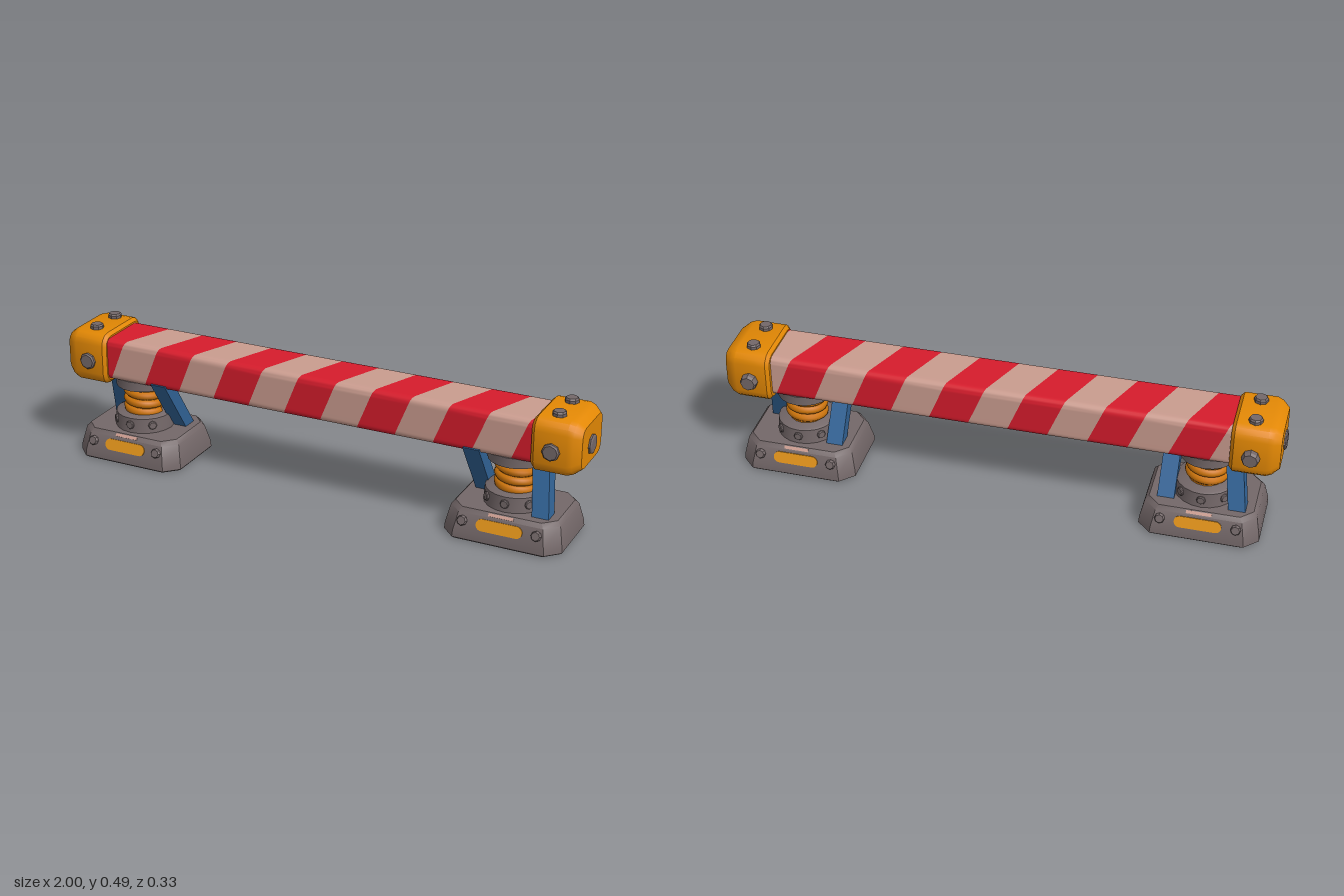
import * as THREE from 'three';
import { toCreasedNormals } from 'three/addons/utils/BufferGeometryUtils.js';

const material = (name, color) => Object.assign(new THREE.MeshStandardMaterial({ color }), { name });

// Solid through rounded-rectangle rings [y, halfX, halfZ, corner], n segments per corner
function loft(sections, n) {
  const rings = sections.map(([y, hx, hz, c]) => {
    const ring = [];
    for (let q = 0; q < 4; q++) {
      const sx = q === 0 || q === 3 ? 1 : -1, sz = q < 2 ? 1 : -1;
      for (let i = 0; i <= n; i++) {
        const t = (q + i / n) * Math.PI / 2;
        ring.push([sx * (hx - c) + c * Math.cos(t), y, sz * (hz - c) + c * Math.sin(t)]);
      }
    }
    return ring;
  });
  const pos = [], m = rings[0].length, last = rings.length - 1;
  const tri = (a, b, c) => pos.push(...a, ...b, ...c);
  for (let j = 0; j < m; j++) {
    const k = (j + 1) % m;
    for (let i = 0; i < last; i++) {
      tri(rings[i][j], rings[i + 1][j], rings[i][k]);
      tri(rings[i + 1][j], rings[i + 1][k], rings[i][k]);
    }
    tri([0, sections[0][0], 0], rings[0][j], rings[0][k]);
    tri([0, sections[last][0], 0], rings[last][k], rings[last][j]);
  }
  return fromPositions(pos);
}

function fromPositions(pos) {
  const g = new THREE.BufferGeometry();
  g.setAttribute('position', new THREE.Float32BufferAttribute(pos, 3));
  return toCreasedNormals(g, 0.6);
}

// One colour of the diagonal stripes, which wind around the beam once per period
function stripes(phase) {
  const P = 0.283, N = 96, end = 0.83, hz = 0.106, hy = 0.078, r = 0.022, H = Math.PI / 2;
  const section = new THREE.Shape().moveTo(hz, 0)
    .lineTo(hz, hy - r)
    .absarc(hz - r, hy - r, r, 0, H)
    .absarc(-hz + r, hy - r, r, H, 2 * H)
    .absarc(-hz + r, -hy + r, r, 2 * H, 3 * H)
    .absarc(hz - r, -hy + r, r, 3 * H, 4 * H)
    .lineTo(hz, 0);
  const pts = section.getSpacedPoints(N), pos = [];
  const at = (x, j) => [THREE.MathUtils.clamp(x + P * j / N, -end, end), 0.382 + pts[j].y, pts[j].x];
  for (let k = -5; k <= 4; k++) {
    const x0 = (k + phase - 0.25) * P, x1 = x0 + P / 2;
    for (let j = 0; j < N; j++) {
      const a = at(x0, j), b = at(x1, j), c = at(x0, j + 1), d = at(x1, j + 1);
      if (b[0] > a[0]) pos.push(...a, ...b, ...c);
      if (d[0] > c[0]) pos.push(...b, ...d, ...c);
    }
  }
  return fromPositions(pos);
}

export function createModel() {
  const grey = material('greyMetal', 0x746869);
  const orange = material('orangePaint', 0xe38804);
  const amber = material('amberPanel', 0xe9981c);
  const copper = material('springOrange', 0xcc740a);
  const blue = material('bluePaint', 0x316396);
  const red = material('redPaint', 0xd61c2c);
  const beige = material('beigePaint', 0xca9c8f);
  const model = new THREE.Group();
  model.name = 'barrier';

  const add = (parent, name, geo, mat, x = 0, y = 0, z = 0) => {
    const mesh = new THREE.Mesh(geo, mat);
    mesh.name = name;
    mesh.position.set(x, y, z);
    parent.add(mesh);
    return mesh;
  };
  const drum = (rTop, rBottom, h, sides) =>
    toCreasedNormals(new THREE.CylinderGeometry(rTop, rBottom, h, sides), 0.6);

  // Eight-sided bolt head standing on a surface point along a direction
  const bolt = (parent, r, h, p, dir) => {
    const g = new THREE.Group();
    g.name = 'bolt';
    add(g, 'boltBody', drum(r, r, 0.01 + h * 0.65, 8), grey, 0, h * 0.325 - 0.005);
    add(g, 'boltTop', drum(r * 0.82, r, h * 0.35, 8), grey, 0, h * 0.825);
    g.position.set(...p);
    g.quaternion.setFromUnitVectors(new THREE.Vector3(0, 1, 0), new THREE.Vector3(...dir).normalize());
    parent.add(g);
  };

  // Leaning brace with level ends: top and bottom of a box moved to two points
  const strut = (parent, name, top, bottom) => {
    const g = new THREE.BoxGeometry(0.06, 1, 0.058);
    const p = g.attributes.position;
    for (let i = 0; i < p.count; i++) {
      const e = p.getY(i) > 0 ? top : bottom;
      p.setXYZ(i, p.getX(i) + e[0], e[1], p.getZ(i) + e[2]);
    }
    add(parent, name, toCreasedNormals(g, 0.5), blue);
  };

  // Striped beam
  add(model, 'beamRedStripes', stripes(0), red);
  add(model, 'beamBeigeStripes', stripes(0.5), beige);

  // Rounded slot panel
  const slot = new THREE.Shape()
    .absarc(0.062, 0, 0.021, -Math.PI / 2, Math.PI / 2)
    .absarc(-0.062, 0, 0.021, Math.PI / 2, Math.PI * 1.5);
  const slotGeo = new THREE.ExtrudeGeometry(slot, { depth: 0.004, bevelEnabled: false, curveSegments: 6 });

  // Spring coil path
  const coil = [];
  for (let i = 0; i <= 56; i++) {
    const t = i / 56 * Math.PI * 6;
    coil.push(new THREE.Vector3(0.061 * Math.cos(t), 0.168 + 0.1 * i / 56, 0.061 * Math.sin(t)));
  }
  const coilGeo = new THREE.TubeGeometry(new THREE.CatmullRomCurve3(coil), 140, 0.016, 8);

  for (const s of [1, -1]) {
    const side = s > 0 ? 'left' : 'right';

    // End cap with its bolts
    const cap = new THREE.Group();
    cap.name = side + 'EndCap';
    cap.position.set(0, 0.38, -0.004);
    model.add(cap);
    const capGeo = loft([
      [0.82, 0.086, 0.116, 0.035], [0.832, 0.0975, 0.127, 0.042], [0.945, 0.0975, 0.127, 0.042],
      [0.965, 0.092, 0.121, 0.042], [0.99, 0.073, 0.1, 0.032]], 3);
    capGeo.rotateZ(-s * Math.PI / 2);
    add(cap, 'capBody', capGeo, orange);
    bolt(cap, 0.035, 0.012, [s * 0.988, -0.009, 0.004], [s, 0, 0]);
    for (const z of [0.059, -0.064]) bolt(cap, 0.025, 0.017, [s * 0.893, 0.097, z], [0, 1, 0]);
    bolt(cap, 0.031, 0.014, [s * 0.893, -0.008, 0.126], [0, 0, 1]);
    bolt(cap, 0.031, 0.026, [s * 0.893, -0.008, -0.126], [0, 0, -1]);

    // Foot
    const foot = new THREE.Group();
    foot.name = side + 'Foot';
    foot.position.x = s * 0.735;
    model.add(foot);
    add(foot, 'footBlock', loft([
      [0, 0.208, 0.157, 0.048], [0.006, 0.213, 0.163, 0.048], [0.03, 0.211, 0.161, 0.048],
      [0.095, 0.197, 0.142, 0.046], [0.11, 0.184, 0.13, 0.042]], 1), grey);
    for (const turn of [0, Math.PI]) {
      const face = new THREE.Group();
      face.name = turn ? 'backDetails' : 'frontDetails';
      face.rotation.y = turn;
      foot.add(face);
      add(face, 'slotPanel', slotGeo, amber, 0, 0.066, 0.15).rotation.x = -0.284;
      add(face, 'edgeMark', new THREE.BoxGeometry(0.09, 0.011, 0.004), beige, 0, 0.1025, 0.136).rotation.x = -0.67;
      for (const x of [-0.133, 0.133]) bolt(face, 0.018, 0.013, [x, 0.069, 0.15], [0, 0.28, 0.96]);
    }

    // Lower collar, spring and upper flange
    add(foot, 'lowerCollar', drum(0.106, 0.11, 0.06, 20), grey, 0, 0.135);
    add(foot, 'lowerCollarRim', drum(0.098, 0.106, 0.005, 20), grey, 0, 0.1665);
    for (const i of [1, 2, 3, 5, 6, 7]) {
      const a = i * Math.PI / 4, c = Math.cos(a), d = Math.sin(a);
      bolt(foot, 0.016, 0.009, [c * 0.105, 0.14, d * 0.105], [c, 0, d]);
    }
    add(foot, 'springCore', drum(0.063, 0.063, 0.12, 16), copper, 0, 0.215);
    add(foot, 'springCoil', coilGeo, copper);
    add(foot, 'upperFlangeNeck', drum(0.092, 0.074, 0.014, 20), grey, 0, 0.267);
    add(foot, 'upperFlange', drum(0.102, 0.102, 0.036, 20), grey, 0, 0.29);

    // Braces
    strut(model, side + 'InnerBrace', [s * 0.608, 0.32, 0.084], [s * 0.608, 0.1, -0.062]);
    strut(model, side + 'OuterBrace', [s * 0.825, 0.31, s * -0.012], [s * 0.862, 0.1, s * 0.075]);
  }
  return model;
}
